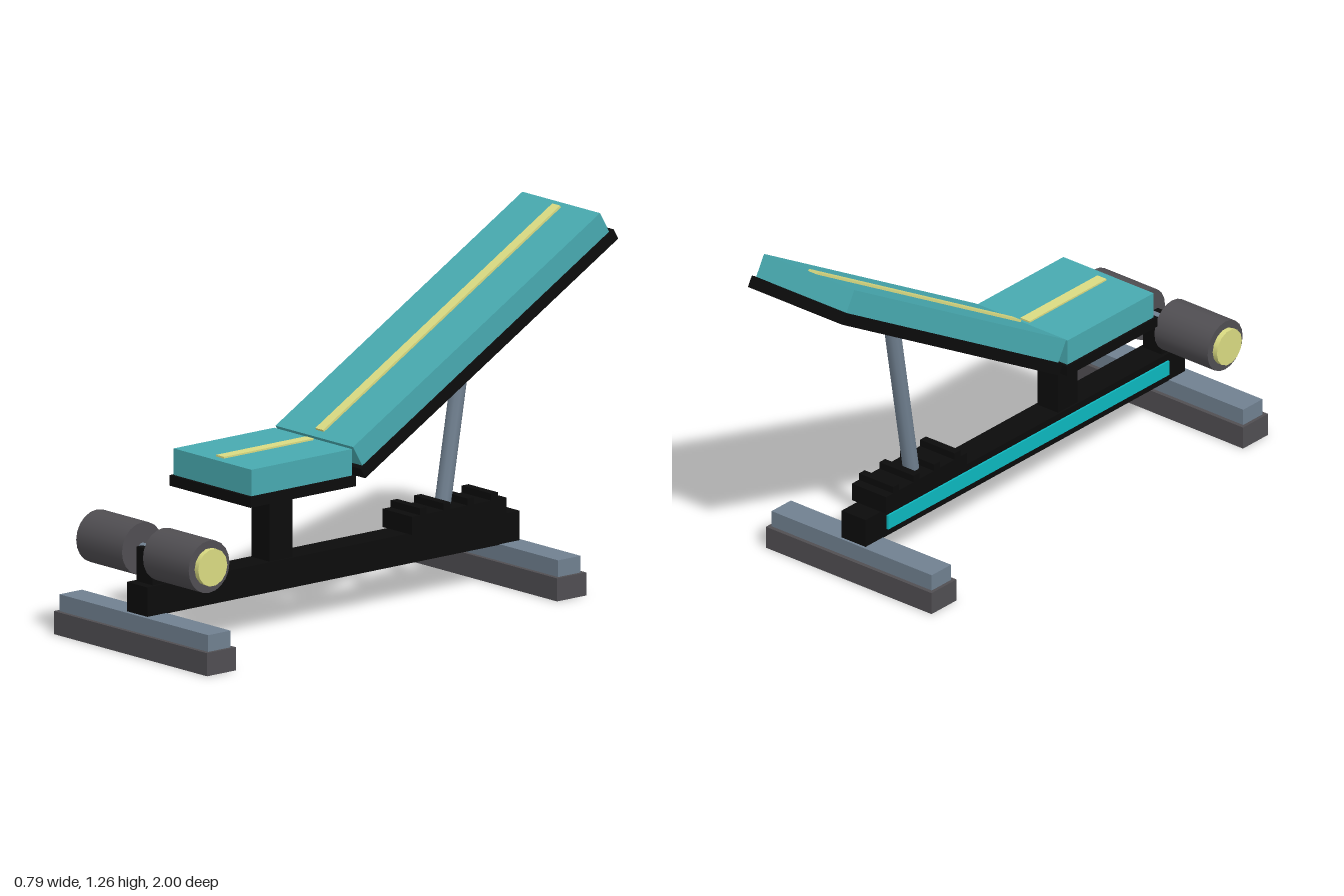
import * as THREE from 'three';

export function createModel() {
  const bench = new THREE.Group();
  bench.name = 'adjustableBench';

  const mat = (name, color) => {
    const m = new THREE.MeshStandardMaterial({ color });
    m.name = name;
    return m;
  };
  const black = mat('blackFrame', 0x0b0b0b);
  const teal = mat('tealPadding', 0x48aab0);
  const cyan = mat('cyanAccent', 0x0cb8c0);
  const yellow = mat('yellowTrim', 0xdadb82);
  const slate = mat('slateSteel', 0x708090);
  const grey = mat('greyRubber', 0x504e52);

  // Box given by its [min, max] range on each axis
  const box = (name, material, [x0, x1], [y0, y1], [z0, z1], parent = bench) => {
    const mesh = new THREE.Mesh(new THREE.BoxGeometry(x1 - x0, y1 - y0, z1 - z0), material);
    mesh.position.set((x0 + x1) / 2, (y0 + y1) / 2, (z0 + z1) / 2);
    mesh.name = name;
    parent.add(mesh);
    return mesh;
  };
  const half = (w) => [-w, w];

  // Cylinder between two points
  const rod = (name, material, from, to, radius, sides) => {
    const a = new THREE.Vector3(...from), b = new THREE.Vector3(...to);
    const dir = b.clone().sub(a);
    const mesh = new THREE.Mesh(new THREE.CylinderGeometry(radius, radius, dir.length(), sides), material);
    mesh.position.copy(a).add(b).multiplyScalar(0.5);
    mesh.quaternion.setFromUnitVectors(new THREE.Vector3(0, 1, 0), dir.normalize());
    mesh.name = name;
    bench.add(mesh);
  };

  // Feet: rubber base with a steel crossbar on top
  for (const [name, z, w] of [['front', 0.935, 0.395], ['rear', -0.65, 0.367]]) {
    box(name + 'FootRubber', grey, half(w), [0, 0.08], [z - 0.065, z + 0.065]);
    box(name + 'FootBar', slate, half(w - 0.012), [0.08, 0.138], [z - 0.05, z + 0.05]);
  }

  // Spine beam with an accent strip on its right side
  box('spineBeam', black, half(0.053), [0.136, 0.24], [-0.69, 0.97]);
  box('beamAccent', cyan, [-0.06, -0.053], [0.162, 0.215], [-0.58, 0.88]);

  // Seat
  box('seatPost', black, half(0.046), [0.24, 0.5], [0.318, 0.42]);
  box('seatPlate', black, half(0.208), [0.493, 0.53], [0.175, 0.645]);
  box('seatPad', teal, half(0.2), [0.53, 0.622], [0.186, 0.634]);
  box('seatStripe', yellow, half(0.02), [0.622, 0.628], [0.2, 0.6]);

  // Backrest, laid out flat and tilted 30 degrees
  const back = new THREE.Group();
  back.name = 'backrest';
  back.rotation.x = Math.PI / 6;
  bench.add(back);
  box('backPlate', black, half(0.208), [0.511, 0.552], [-1.444, -0.142], back);
  box('backPad', teal, half(0.2), [0.552, 0.634], [-1.429, -0.158], back);
  box('backStripe', yellow, half(0.02), [0.634, 0.642], [-1.408, -0.188], back);

  // Ratchet block with teeth, and the strut that holds the backrest
  box('ratchetBlock', black, half(0.076), [0.24, 0.303], [-0.61, -0.19]);
  for (let i = 0; i < 4; i++) {
    const z = -0.24 - i * 0.106;
    box('ratchetTooth', black, half(0.076), [0.303, 0.327], [z - 0.015, z + 0.015]);
  }
  rod('supportStrut', slate, [0, 0.29, -0.39], [0, 0.865, -0.488], 0.028, 10);

  // Leg rollers on an axle
  const ry = 0.345, rz = 0.9;
  box('rollerBracket', black, half(0.041), [0.24, 0.36], [0.862, 0.937]);
  rod('rollerAxle', slate, [-0.1, ry, rz], [0.1, ry, rz], 0.02, 12);
  for (const s of [-1, 1]) {
    rod('legRoller', grey, [s * 0.054, ry, rz], [s * 0.29, ry, rz], 0.091, 20);
    rod('rollerCap', yellow, [s * 0.28, ry, rz], [s * 0.309, ry, rz], 0.065, 14);
  }

  return bench;
}
